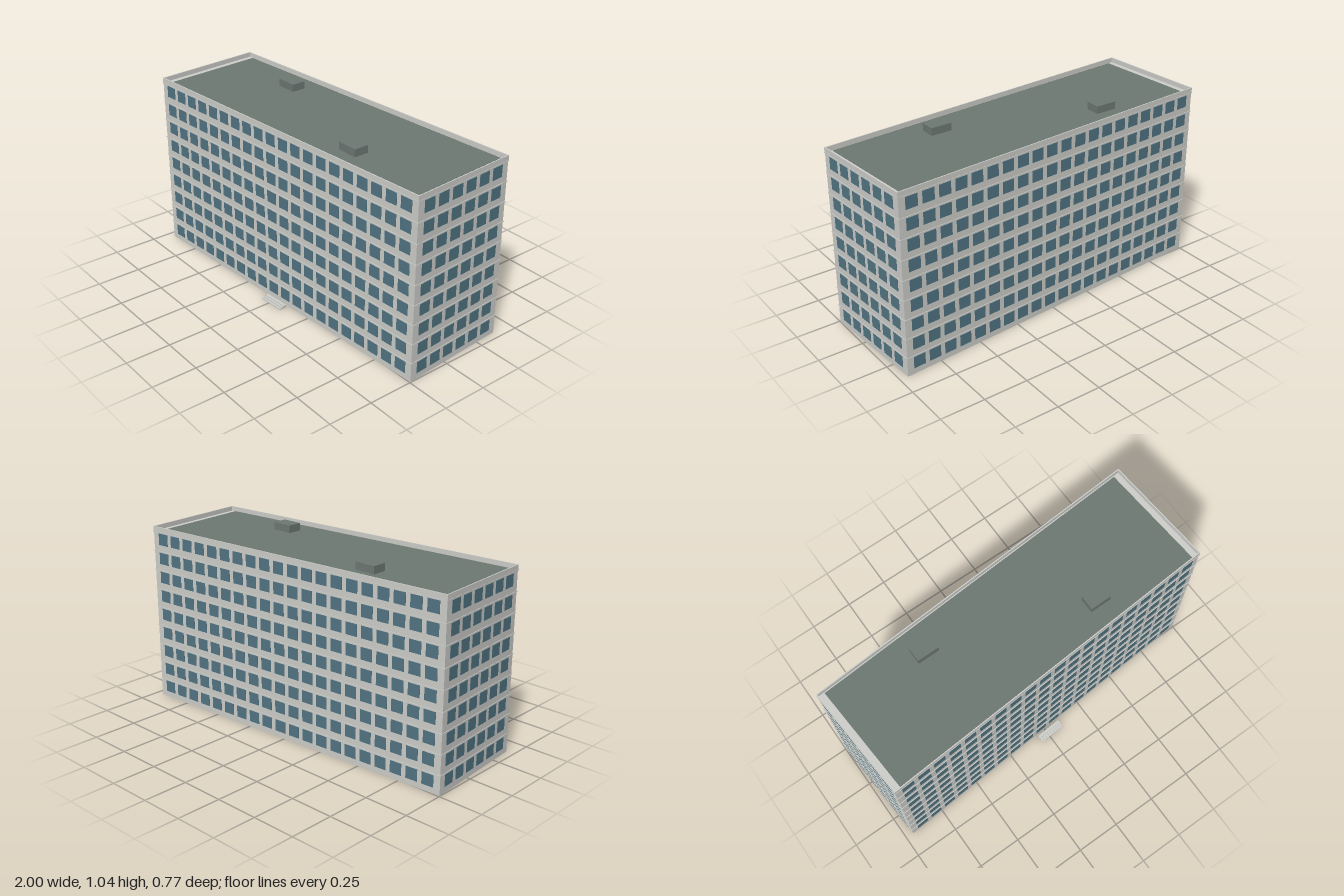
import * as THREE from 'three';

const LENGTH = 1.957, DEPTH = 0.627;
const FLOORS = 9, PITCH = 0.1108;

const mat = (name, color) => {
  const m = new THREE.MeshStandardMaterial({ color });
  m.name = name;
  return m;
};

export function createModel() {
  const wall = mat('wall grey', 0xcecfcb);
  const glass = mat('window blue', 0x517583);
  const roofing = mat('roof grey', 0x6e7974);

  const model = new THREE.Group();
  model.name = 'apartmentBlock';

  // The block stands slightly turned on its plot
  const block = new THREE.Group();
  block.name = 'block';
  block.rotation.y = THREE.MathUtils.degToRad(4);
  model.add(block);

  // Box placed by its centre in x and z and its underside in y
  const box = (parent, name, m, w, h, d, x, y, z) => {
    const mesh = new THREE.Mesh(new THREE.BoxGeometry(w, h, d), m);
    mesh.name = name;
    mesh.position.set(x, y + h / 2, z);
    parent.add(mesh);
  };

  // Main body and sunken roof
  box(block, 'body', wall, LENGTH, 0.992, DEPTH, 0, 0, 0);
  box(block, 'roof', roofing, LENGTH - 0.076, 0.006, DEPTH - 0.022, 0, 0.992, 0);

  // Thin parapet around the roof
  const rim = 0.006, rimLength = LENGTH + 0.003, rimDepth = DEPTH + 0.003;
  for (const s of [-1, 1]) {
    box(block, 'parapetLong', wall, rimLength, 0.03, rim, 0, 0.992, s * (rimDepth - rim) / 2);
    box(block, 'parapetShort', wall, rim, 0.03, rimDepth - 2 * rim, s * (rimLength - rim) / 2, 0.992, 0);
  }

  // Ledge above every storey
  for (let f = 0; f < FLOORS; f++) {
    box(block, 'floorLedge', wall, LENGTH + 0.006, 0.005, DEPTH + 0.007, 0, 0.104 + f * PITCH, 0);
  }

  // Window grids on the four facades
  const facade = (name, columns, distance, angle) => {
    const group = new THREE.Group();
    group.name = name;
    group.rotation.y = angle;
    for (let f = 0; f < FLOORS; f++) {
      for (let c = 0; c < columns; c++) {
        box(group, 'window', glass, 0.069, 0.066, 0.003,
          (c - (columns - 1) / 2) * 0.0953, 0.033 + f * PITCH, distance);
      }
    }
    block.add(group);
  };
  facade('frontWindows', 20, DEPTH / 2, 0);
  facade('backWindows', 20, DEPTH / 2, Math.PI);
  facade('leftWindows', 6, LENGTH / 2, Math.PI / 2);
  facade('rightWindows', 6, LENGTH / 2, -Math.PI / 2);

  // Entrance steps, standing just clear of the front
  for (let i = 0; i < 3; i++) {
    const d = 0.042 - i * 0.012;
    box(block, 'entranceStep', wall, 0.15, 0.0055, d, -0.006, i * 0.0055, 0.328 + d / 2);
  }

  // Roof units, square to the plot rather than to the block
  box(model, 'roofUnit', roofing, 0.122, 0.048, 0.083, -0.44, 0.992, -0.1375);
  box(model, 'roofUnit', roofing, 0.12, 0.048, 0.083, 0.417, 0.992, 0.1375);

  return model;
}
